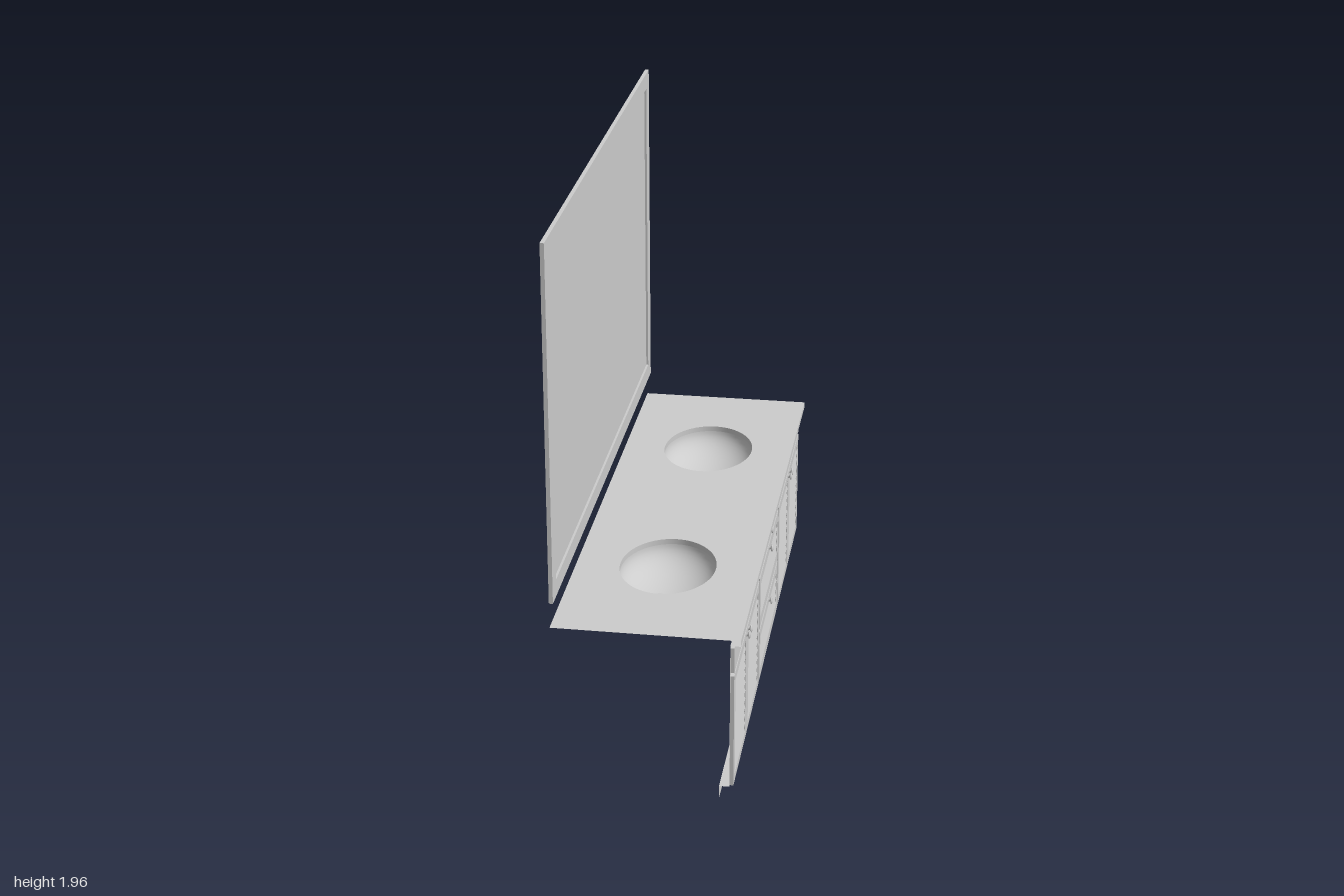
import * as THREE from 'three';

const mat = new THREE.MeshStandardMaterial({ color: 0xcccccc, side: THREE.DoubleSide });

function add(parent, name, geometry, x = 0, y = 0, z = 0) {
  const m = new THREE.Mesh(geometry, mat);
  m.name = name;
  m.position.set(x, y, z);
  parent.add(m);
  return m;
}

// Rectangle outline given by its left, right, bottom and top
function rect(Type, [l, r, b, t]) {
  return new Type([[l, b], [r, b], [r, t], [l, t]].map(p => new THREE.Vector2(...p)));
}

function panelShape(outer, holes) {
  const s = rect(THREE.Shape, outer);
  holes.forEach(h => s.holes.push(rect(THREE.Path, h)));
  return s;
}

function flatGeometry(pos) {
  const g = new THREE.BufferGeometry();
  g.setAttribute('position', new THREE.Float32BufferAttribute(pos, 3));
  g.computeVertexNormals();
  return g;
}

function quad(pos, a, b, c, d) {
  pos.push(...a, ...b, ...c, ...a, ...c, ...d);
}

// Folded strip: an (x, y) section swept along the full length
function strip(points) {
  const pos = [];
  for (let i = 0; i < points.length - 1; i++) {
    const p = points[i], q = points[i + 1];
    quad(pos, [...p, 1], [...q, 1], [...q, -1], [...p, -1]);
  }
  return flatGeometry(pos);
}

// Pressed sheet: rectangular rings given as [inset, x], closed by a flat pane
function pressedSheet(rings, halfZ, bottom, top) {
  const pos = [];
  const loops = rings.map(([i, x]) => [
    [x, bottom + i, halfZ - i], [x, bottom + i, i - halfZ],
    [x, top - i, i - halfZ], [x, top - i, halfZ - i]]);
  for (let r = 0; r < loops.length - 1; r++) {
    for (let k = 0; k < 4; k++) {
      const n = (k + 1) % 4;
      quad(pos, loops[r][k], loops[r][n], loops[r + 1][n], loops[r + 1][k]);
    }
  }
  quad(pos, ...loops[loops.length - 1]);
  return flatGeometry(pos);
}

const lathe = (pts, n) => new THREE.LatheGeometry(pts.map(p => new THREE.Vector2(...p)), n);

const THICK = 0.013;

// Panel with louvred openings, built in the xy plane and facing +z
function louvredFront(name, outer, openings, slats) {
  const g = new THREE.Group();
  g.name = name;
  add(g, name + 'Panel', new THREE.ExtrudeGeometry(panelShape(outer, openings),
    { depth: THICK, bevelEnabled: false }));
  for (const [l, r, b, t] of openings) {
    const pitch = (t - b) / slats;
    for (let i = 0; i < slats; i++) {
      const s = add(g, 'louvre', new THREE.BoxGeometry(r - l, pitch * 1.1, 0.003),
        (l + r) / 2, b + pitch * (i + 0.5), THICK / 2);
      s.rotation.x = -0.28;
    }
  }
  return g;
}

function knob(parent, x, y) {
  const k = add(parent, 'knob', lathe([[0.007, 0], [0.005, 0.006], [0.013, 0.008],
    [0.014, 0.011], [0.01, 0.014], [0, 0.015]], 20), x, y, THICK);
  k.rotation.x = Math.PI / 2;
}

export function createModel() {
  const root = new THREE.Group();
  root.name = 'doubleVanity';

  // Countertop sheet with two oval cut-outs
  const RX = 0.168, RZ = 0.21, TOP = 0.61;
  const top = rect(THREE.Shape, [-0.32, 0.32, -1, 1]);
  for (const z of [-0.5, 0.5]) {
    top.holes.push(new THREE.Path().absellipse(0, z, RX, RZ, 0, Math.PI * 2));
  }
  add(root, 'countertop', new THREE.ShapeGeometry(top, 32).rotateX(-Math.PI / 2), 0, TOP, 0);
  add(root, 'counterLip', strip([[0.32, TOP], [0.32, 0.59], [0.285, 0.59]]));
  add(root, 'toeKick', strip([[0.285, 0.05], [0.25, 0.05], [0.25, 0]]));

  // Basins: straight rim, half-ellipsoid bowl and offset drain
  const bowl = [];
  for (let i = 0; i <= 14; i++) {
    const a = i / 14 * Math.PI / 2;
    bowl.push([Math.sin(a) * 1.03, -Math.cos(a) * 0.106]);
  }
  for (const z of [-0.5, 0.5]) {
    const basin = new THREE.Group();
    basin.name = 'basin';
    basin.position.set(0, 0.59, z);
    root.add(basin);
    add(basin, 'bowl', lathe(bowl, 64)).scale.set(RX, 1, RZ);
    add(basin, 'rim', new THREE.CylinderGeometry(1, 1, 0.02, 64, 1, true), 0, 0.01, 0)
      .scale.set(RX, 1, RZ);
    add(basin, 'drain', new THREE.CylinderGeometry(0.017, 0.017, 0.012, 24), -0.03, -0.104, 0);
  }

  // Cabinet front, drawn flat and turned to face +x
  const front = new THREE.Group();
  front.name = 'cabinetFront';
  front.position.x = 0.285;
  front.rotation.y = Math.PI / 2;
  root.add(front);

  const m = 0.012; // overlap of each front on the face frame
  const bays = [[-0.993, -0.302], [-0.287, 0.287], [0.302, 0.993]];
  const frameHoles = [];
  const opening = ([l, r, b, t]) => frameHoles.push([l + m, r - m, b + m, t - m]);

  for (const [l, r] of bays) {
    const top = [l, r, 0.485, 0.578];
    opening(top);
    front.add(louvredFront('topDrawer', top, [], 0));
    const c = (l + r) / 2;
    if (Math.abs(c) > 0.1) {
      const doors = [l, r, 0.052, 0.472];
      opening(doors);
      front.add(louvredFront('doorPair', doors,
        [[c - 0.312, c - 0.037, 0.08, 0.44], [c + 0.037, c + 0.312, 0.08, 0.44]], 11));
      knob(front, c - 0.022, 0.455);
      knob(front, c + 0.022, 0.455);
    } else {
      for (const [b, t] of [[0.052, 0.255], [0.267, 0.472]]) {
        opening([l, r, b, t]);
        front.add(louvredFront('drawer', [l, r, b, t],
          [[-0.255, 0.255, b + 0.038, t - 0.035]], 4));
        knob(front, 0, t - 0.018);
      }
      knob(front, 0, 0.53);
    }
  }
  add(front, 'faceFrame', new THREE.ShapeGeometry(panelShape([-1, 1, 0.05, 0.59], frameHoles)));

  // Wall mirror: raised border around a sunken pane
  add(root, 'mirror', pressedSheet(
    [[0, -0.32], [0, -0.306], [0.06, -0.306], [0.06, -0.314]], 1, 0.7, 1.96));

  return root;
}
